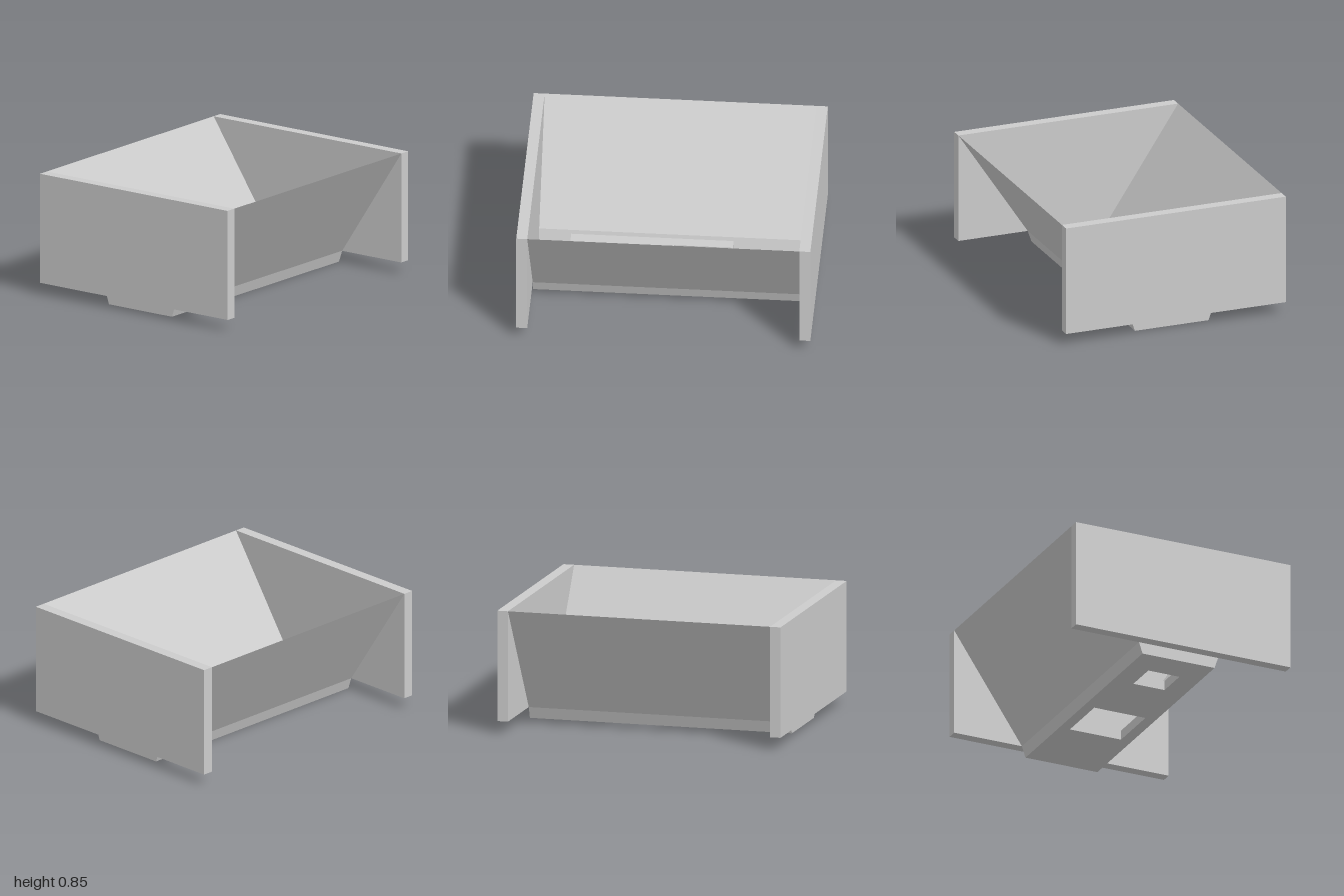
import * as THREE from 'three';

const grey = new THREE.MeshStandardMaterial({ color: 0xcccccc, flatShading: true, side: THREE.DoubleSide });
const END = 0.925; // inner face of the end plates

// Rectangle as a shape or a hole, drawn in plan with z mapped to -y
function trace(path, x, z0, z1) {
  path.moveTo(-x, -z0);
  path.lineTo(-x, -z1);
  path.lineTo(x, -z1);
  path.lineTo(x, -z0);
  path.closePath();
  return path;
}

function planWithHoles(x, z0, z1) {
  const shape = trace(new THREE.Shape(), x, z0, z1);
  shape.holes.push(trace(new THREE.Path(), 0.193, -0.39, 0));
  shape.holes.push(trace(new THREE.Path(), 0.118, 0.455, 0.695));
  return shape;
}

// Thin sheet following a cross-section along z
function sheet(points) {
  const pos = [], index = [];
  points.forEach(([x, y], i) => {
    pos.push(x, y, END, x, y, -END);
    if (i) {
      const a = 2 * i - 2;
      index.push(a, a + 1, a + 2, a + 1, a + 3, a + 2);
    }
  });
  const g = new THREE.BufferGeometry();
  g.setAttribute('position', new THREE.Float32BufferAttribute(pos, 3));
  g.setIndex(index);
  const flat = g.toNonIndexed();
  flat.computeVertexNormals();
  return flat;
}

export function createModel() {
  const group = new THREE.Group();
  const add = (name, geometry) => {
    const mesh = new THREE.Mesh(geometry, grey);
    mesh.name = name;
    group.add(mesh);
    return mesh;
  };

  // Trough floor with two rectangular openings
  add('floor', new THREE.ShapeGeometry(planWithHoles(0.27, -END, END)).rotateX(-Math.PI / 2));

  // Raised pad that gives the openings their depth
  add('floorPad', new THREE.ExtrudeGeometry(planWithHoles(0.268, -0.4, 0.705), { depth: 0.068, bevelEnabled: false })
    .rotateX(-Math.PI / 2)).position.y = 0.002;

  // Sloping sides: short steep foot, then the wide flare
  for (const s of [1, -1]) {
    const section = [[0.27 * s, 0], [0.297 * s, 0.08], [0.805 * s, 0.845]];
    add(s > 0 ? 'leftSide' : 'rightSide', sheet(s > 0 ? section : section.reverse()));
  }

  // End plates and the trough ends showing beneath them
  const foot = new THREE.Shape([[-0.27, 0], [0.27, 0], [0.297, 0.08], [-0.297, 0.08]].map(p => new THREE.Vector2(...p)));
  for (const s of [1, -1]) {
    const name = s > 0 ? 'front' : 'back';
    add(name + 'Plate', new THREE.BoxGeometry(1.61, 0.765, 0.075)).position.set(0, 0.4625, 0.9625 * s);
    const end = add(name + 'TroughEnd', new THREE.ShapeGeometry(foot));
    end.position.z = END * s;
    if (s < 0) end.rotation.y = Math.PI;
  }
  return group;
}
